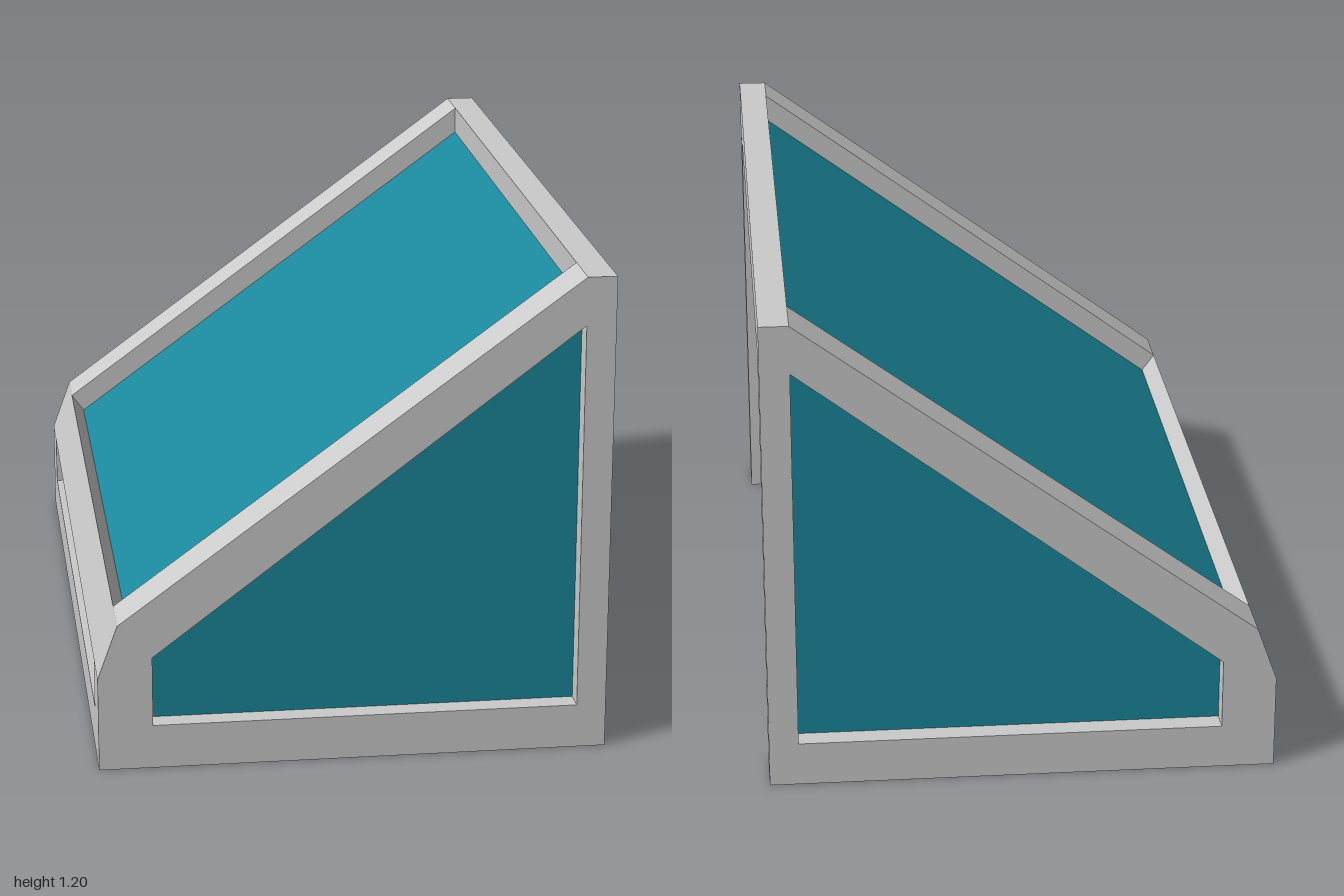
import * as THREE from 'three';

const W = 0.135;        // frame thickness
const IN = 1 - W;       // half length of the openings
const INSET = 0.055;    // depth of the panes behind the frame face

const frameMat = new THREE.MeshStandardMaterial({ color: 0xcccccc, flatShading: true });
const glassMat = new THREE.MeshStandardMaterial({ color: 0x1b889b, side: THREE.DoubleSide });

const points = (list) => list.map(([x, y]) => new THREE.Vector2(x, y));

// extrude an x-y profile from z0 to z1
function prism(name, profile, z0, z1, hole) {
  const shape = new THREE.Shape(points(profile));
  if (hole) shape.holes.push(new THREE.Path(points(hole)));
  const geo = new THREE.ExtrudeGeometry(shape, { depth: z1 - z0, bevelEnabled: false });
  geo.translate(0, 0, z0);
  const mesh = new THREE.Mesh(geo, frameMat);
  mesh.name = name;
  return mesh;
}

// flat pane spanning the openings along z, between two x-y points
function longPane(name, [x0, y0], [x1, y1]) {
  const geo = new THREE.PlaneGeometry(Math.hypot(x1 - x0, y1 - y0), 2 * IN);
  geo.rotateX(-Math.PI / 2);
  geo.rotateZ(Math.atan2(y1 - y0, x1 - x0));
  geo.translate((x0 + x1) / 2, (y0 + y1) / 2, 0);
  const mesh = new THREE.Mesh(geo, glassMat);
  mesh.name = name;
  return mesh;
}

export function createModel() {
  const group = new THREE.Group();
  group.name = 'slopedWindowFrame';

  const outline = [[-0.622, 0], [0.622, 0], [0.622, 1.195], [0.55, 1.195], [-0.573, 0.37], [-0.622, 0.235]];
  const opening = [[-0.49, 0.11], [-0.49, 0.285], [0.55, 1.076], [0.55, 0.11]];

  // end frames and their panes
  for (const s of [1, -1]) {
    const label = s > 0 ? 'front' : 'back';
    group.add(prism(label + 'EndFrame', outline, s > 0 ? IN : -1, s > 0 ? 1 : -IN, opening));
    const pane = new THREE.Mesh(new THREE.ShapeGeometry(new THREE.Shape(points(opening))), glassMat);
    pane.position.z = s * (1 - INSET);
    pane.name = label + 'EndPane';
    group.add(pane);
  }

  // long bars joining the two ends
  group.add(prism('sillBar', [[-0.622, 0], [-0.49, 0], [-0.49, 0.11], [-0.622, 0.11]], -IN, IN));
  group.add(prism('eaveBar', [[-0.622, 0.235], [-0.495, 0.235], [-0.514, 0.289], [-0.573, 0.37]], -IN, IN));
  group.add(prism('ridgeBar', [[0.55, 1.076], [0.622, 1.076], [0.622, 1.195], [0.55, 1.195]], -IN, IN));

  // sloping roof pane and low side pane
  group.add(longPane('roofPane', [-0.54, 0.324], [0.55, 1.125]));
  group.add(longPane('lowPane', [-0.622 + INSET, 0.11], [-0.622 + INSET, 0.235]));

  return group;
}
